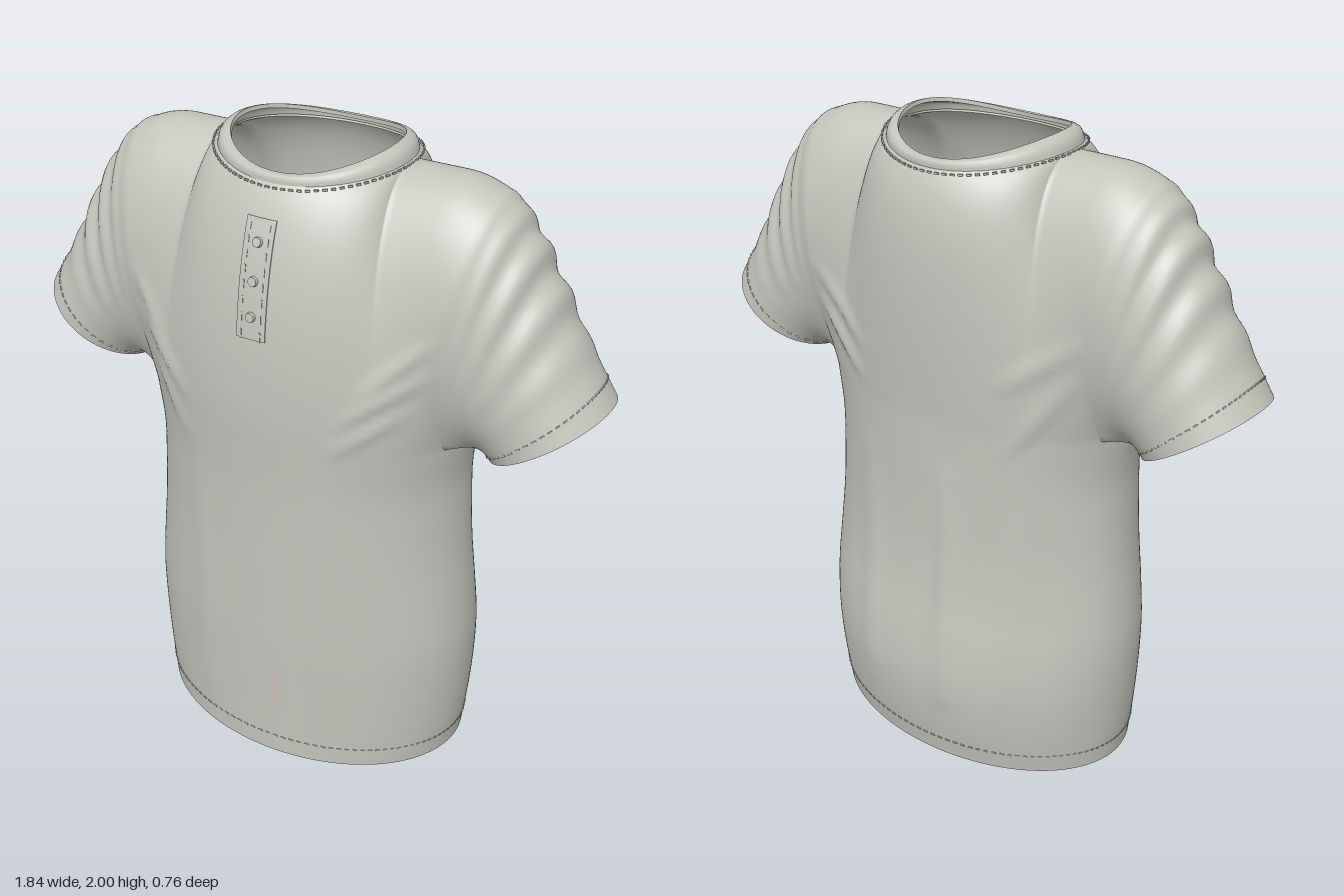
import * as THREE from 'three';
import { mergeGeometries, mergeVertices } from 'three/addons/utils/BufferGeometryUtils.js';

const V = (x, y, z) => new THREE.Vector3(x, y, z);
const PI = Math.PI, CHEST = 1.18, SIDE = 0.38;   // chest height, half angle of the underarm gusset
const M = 80, K = 10, R = 44;                    // columns per panel, gusset columns, panel rows
const range = (n, f) => Array.from({ length: n + 1 }, (_, i) => f(i / n, i));
const bezier = (a, b, c, d, t) => new THREE.CubicBezierCurve3(a, b, c, d).getPoint(t);

// Half width, front depth and back depth of the body, evenly spaced from hem to chest
const profile = new THREE.CatmullRomCurve3([
  V(.522, .365, .345), V(.537, .366, .37), V(.546, .368, .38), V(.548, .37, .365), V(.536, .37, .34),
  V(.52, .37, .325), V(.51, .37, .32), V(.506, .372, .32), V(.525, .378, .32),
], false, 'catmullrom');

function bodyPoint(angle, t) {
  const p = profile.getPoint(t), s = Math.sin(angle);
  return V(p.x * Math.cos(angle), t * CHEST, s * (s > 0 ? p.y : p.z));
}

// Neckline around the collar seam (k = 0) and collar edge (k = 1)
function neckPoint(angle, k) {
  const s = Math.sin(angle), drop = s * s;
  const depth = s > 0 ? .25 - .025 * k : .27 - .022 * k;
  return V((.285 - .042 * k) * Math.cos(angle), 1.957 + .043 * k - (.03 + .02 * k) * drop, s * depth);
}

// Column of the front (side 1) or back (side -1) panel, from chest up to shoulder or neck
function panelPoint(u, v, side) {
  const start = bodyPoint(side * (SIDE + u * (PI - 2 * SIDE)), 1);
  const m = Math.min(u, 1 - u), dir = u < .5 ? 1 : -1;
  let end, s = 0;
  if (m < .2) {
    const x = THREE.MathUtils.lerp(.55, .285, m / .2);
    end = V(dir * x, 1.957 - .03 * Math.max(0, (x - .43) / .12) ** 2, 0);
  } else {
    const a = (u - .2) / .6 * PI;
    end = neckPoint(side * a, 0);
    s = Math.sin(a);
  }
  const edge = Math.max(0, 1 - m / .3) ** 2;
  const low = start.clone().add(V(-dir * .02 * edge, .33, side * (.02 + .17 * edge)));
  const high = end.clone().add(V(0, -.12 * s, side * (.21 - .12 * s)));
  return bezier(start, low, high, end, v);
}

// Rows of points to an indexed surface
function sheet(rows, flip = false) {
  const w = rows[0].length, index = [];
  for (let r = 0; r < rows.length - 1; r++) for (let c = 0; c < w - 1; c++) {
    const a = r * w + c, b = a + 1, d = a + w, e = d + 1;
    index.push(...(flip ? [a, b, d, b, e, d] : [a, d, b, b, d, e]));
  }
  return new THREE.BufferGeometry().setFromPoints(rows.flat()).setIndex(index);
}

// Soft folds: x0, y0, x1, y1, side, height, width
const folds = [
  [.47, 1.55, .3, 1.38, 1, .012, .022], [.46, 1.45, .26, 1.3, 1, .013, .022], [.42, 1.34, .24, 1.2, 1, .009, .022],
  [-.47, 1.55, -.36, 1.38, 1, .012, .022], [-.44, 1.42, -.26, 1.26, 1, .013, .022], [-.4, 1.32, -.26, 1.12, 1, .008, .022],
  [.2, 1.1, .22, .15, 1, .006, .05], [-.2, 1.1, -.22, .15, 1, .006, .05],
  [-.09, 1.0, -.1, .25, -1, .016, .045], [.22, 1.0, .2, .2, -1, .01, .05], [-.3, 1.1, -.3, .3, -1, .008, .045],
  [.46, 1.5, .25, 1.36, -1, .012, .022], [.45, 1.4, .25, 1.25, -1, .012, .022],
  [-.46, 1.5, -.25, 1.34, -1, .012, .022], [-.44, 1.38, -.28, 1.15, -1, .011, .022],
];
function foldHeight(p, n) {
  let h = 0;
  for (const [x0, y0, x1, y1, side, amp, width] of folds) {
    if (n.z * side < .1) continue;
    const dx = x1 - x0, dy = y1 - y0;
    const t = THREE.MathUtils.clamp(((p.x - x0) * dx + (p.y - y0) * dy) / (dx * dx + dy * dy), 0, 1);
    const d = Math.hypot(p.x - x0 - t * dx, p.y - y0 - t * dy);
    h += amp * Math.sin(PI * (.1 + .8 * t)) * Math.exp(-((d / width) ** 2)) * Math.min(1, n.z * side * 2);
  }
  return h;
}

// Outer cloth, inner cloth and the rim joining them along every open edge
function thicken(parts, thickness, folded) {
  const outer = mergeVertices(mergeGeometries(parts), 1e-4);
  const pos = outer.attributes.position, index = outer.index.array;
  outer.computeVertexNormals();
  const point = i => V().fromBufferAttribute(pos, i), normal = i => V().fromBufferAttribute(outer.attributes.normal, i);
  if (folded) {
    for (let i = 0; i < pos.count; i++) {
      const p = point(i), n = normal(i);
      p.addScaledVector(n, foldHeight(p, n));
      pos.setXYZ(i, p.x, p.y, p.z);
    }
    outer.computeVertexNormals();
  }
  const inside = range(pos.count - 1, (_, i) => point(i).addScaledVector(normal(i), -thickness));
  const inner = new THREE.BufferGeometry().setFromPoints(inside).setIndex([...index].reverse());
  inner.computeVertexNormals();
  const edges = new Map(), rim = [];
  for (let i = 0; i < index.length; i += 3) for (let j = 0; j < 3; j++) {
    const a = index[i + j], b = index[i + (j + 1) % 3];
    if (!edges.delete(b + '_' + a)) edges.set(a + '_' + b, [a, b]);
  }
  for (const [a, b] of edges.values()) rim.push(point(b), point(a), inside[a], point(b), inside[a], inside[b]);
  const band = new THREE.BufferGeometry().setFromPoints(rim);
  band.computeVertexNormals();
  return mergeGeometries([outer.toNonIndexed(), inner.toNonIndexed(), band]);
}

// Left sleeve rows, from the armhole out to the cuff
function sleevePoints() {
  const gusset = range(K, t => bodyPoint(t * SIDE, 1));
  const half = side => [...gusset.map(p => V(p.x, p.y, side > 0 ? p.z : bodyPoint(-Math.asin(p.z / .378), 1).z)),
    ...range(R, v => panelPoint(0, v, side)).slice(1)];
  const front = half(1), back = half(-1);
  const loop = [...front, ...back.reverse().slice(1)];
  const lengths = [0];
  for (let i = 1; i < loop.length; i++) lengths.push(lengths[i - 1] + loop[i].distanceTo(loop[i - 1]));
  const total = lengths.at(-1), axis = V(.55, -.83, 0).normalize();
  return range(40, s => loop.map((a, i) => {
    const angle = 2 * PI * lengths[i] / total, c = -Math.cos(angle);
    const cuff = V(.755 + .165 * c, 1.26 + .11 * c, .2 * Math.sin(angle));
    const dist = a.distanceTo(cuff);
    const near = a.clone().add(V(.14, -.02, -.25 * a.z).multiplyScalar(dist));
    const p = bezier(a, near, cuff.clone().addScaledVector(axis, -.45 * dist), cuff, s);
    // Creases across the outer arm
    const crease = .007 * Math.sin(s * 34 + Math.sin(angle) * .8) * Math.sin(PI * s) ** 2 * Math.max(0, c + .3);
    return p.add(V(.83 * c, .55 * c, Math.sin(angle)).multiplyScalar(s > .9 ? 0 : crease));
  }));
}

// Row of short raised stitches along a path
function stitches(path, size) {
  const parts = [];
  for (let i = 0; i < path.length - 1; i += 2) {
    const a = path[i], b = path[i + 1], g = new THREE.BoxGeometry(size, size, a.distanceTo(b) * 1.1);
    const pose = new THREE.Object3D();
    pose.position.copy(a).lerp(b, .5);
    pose.lookAt(b);
    pose.updateMatrix();
    parts.push(g.applyMatrix4(pose.matrix));
  }
  return mergeGeometries(parts);
}

export function createModel() {
  const group = new THREE.Group();
  const cloth = new THREE.MeshStandardMaterial({ color: 0xc4c4bc });
  cloth.name = 'light grey cloth';
  const add = (name, geometry) => {
    const mesh = new THREE.Mesh(geometry, cloth);
    mesh.name = name;
    group.add(mesh);
    return mesh;
  };

  // Body, shoulders and sleeves as one continuous cloth
  const arc = (from, to, n) => range(n, t => from + (to - from) * t);
  const angles = [...arc(0, SIDE, K), ...arc(SIDE, PI - SIDE, M).slice(1), ...arc(PI - SIDE, PI + SIDE, 2 * K).slice(1),
    ...arc(PI + SIDE, 2 * PI - SIDE, M).slice(1), ...arc(2 * PI - SIDE, 2 * PI, K).slice(1)];
  const tube = range(50, t => angles.map(a => bodyPoint(a, t)));
  const panel = side => range(R, v => range(M, u => panelPoint(u, v, side)));
  const sleeve = sleevePoints();
  const mirror = row => row.map(p => V(-p.x, p.y, p.z));
  add('shirtCloth', thicken([sheet(tube), sheet(panel(1)), sheet(panel(-1), true),
    sheet(sleeve), sheet(sleeve.map(mirror), true)], .012, true));

  // Collar band
  const collar = range(6, k => range(96, t => {
    const p = neckPoint(t * 2 * PI, k), puff = .008 * Math.sin(PI * k);
    return p.add(V(Math.cos(t * 2 * PI) * puff, puff, Math.sin(t * 2 * PI) * puff));
  }));
  add('collar', thicken([sheet(collar)], .012, false));

  // Button placket, following the chest
  const chest = v => panelPoint(.5, v, 1);
  const vAt = y => { let v = 0; while (chest(v).y < y) v += .002; return v; };
  const v0 = vAt(1.515), v1 = vAt(1.845);
  const placket = range(16, t => range(6, u => {
    const x = .045 - .09 * u, c = chest(v0 + (v1 - v0) * t);
    return V(x, c.y, c.z + .004 - x * x * 1.2);
  }));
  add('placket', thicken([sheet(placket)], .008, false));
  for (const y of [1.58, 1.68, 1.785]) {
    const v = vAt(y), p = chest(v), d = chest(v + .01).sub(p);
    const button = add('button', new THREE.CylinderGeometry(.013, .015, .012, 20));
    button.position.set(0, p.y, p.z + .007);
    button.rotation.x = Math.atan2(d.y, -d.z) * -1 + PI;
    button.rotation.x = Math.atan2(d.y, -d.z);
  }

  // Stitching at the hem, cuffs, collar and placket
  add('hemStitching', stitches(range(240, t => bodyPoint(t * 2 * PI, .055)), .005));
  for (const name of ['leftCuffStitching', 'rightCuffStitching']) {
    const row = sleeve[37];
    add(name, stitches(name[0] === 'l' ? row : mirror(row), .005));
  }
  add('collarStitching', stitches(range(160, t => {
    const a = t * 2 * PI, p = neckPoint(a, 0);
    return p.add(V(.012 * Math.cos(a), -.008 * Math.sin(a) ** 2, .012 * Math.sin(a)));
  }), .005));
  for (const c of [1, 5]) add('placketStitching', stitches(range(16, (_, i) => placket[i][c]), .004));
  return group;
}
